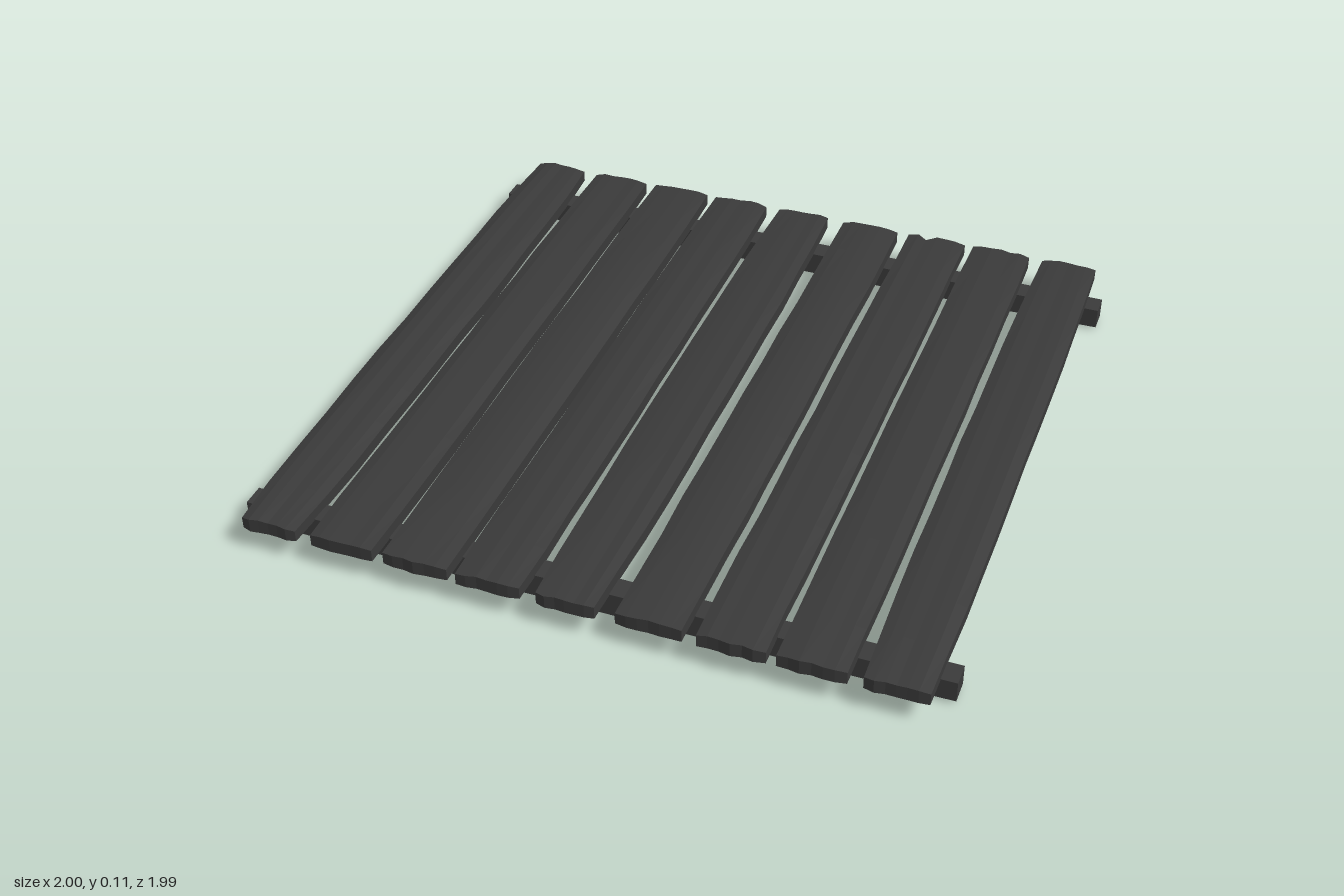
import * as THREE from 'three';

const wood = new THREE.MeshStandardMaterial({ color: 0x3a3a3a, flatShading: true });

// Repeatable noise in -1..1
function noise(a, b, c) {
  const s = Math.sin(a * 127.1 + b * 311.7 + c * 74.7) * 43758.5453;
  return 2 * (s - Math.floor(s)) - 1;
}

// Left and right edge, wear of the ends (how much the tips narrow)
const planks = [
  [-0.973, -0.782, 0.014], [-0.755, -0.565, 0.004], [-0.54, -0.348, 0.003],
  [-0.327, -0.138, 0.004], [-0.108, 0.08, 0.012], [0.123, 0.31, 0.002],
  [0.343, 0.531, 0.002], [0.555, 0.744, 0.003], [0.773, 0.962, 0.01],
];
const NOTCHED = 6;

// Weathered plank: crowned top, bowed along its length, ragged ends
function makePlank([x0, x1, taper], i) {
  const w = x1 - x0;
  const geo = new THREE.BoxGeometry(w, 0.036, 1.98, 6, 1, 12);
  const p = geo.attributes.position;
  for (let k = 0; k < p.count; k++) {
    const x = p.getX(k), y = p.getY(k), z = p.getZ(k);
    const u = x / (w / 2), v = z / 0.99;
    const row = Math.round(v * 6), col = Math.round(u * 3), top = y > 0;
    const isEnd = Math.abs(row) === 6, isSide = Math.abs(col) === 3;
    let nx = x * (1 - (2 * taper / w) * v ** 4);
    if (isSide) nx += 0.002 * noise(i, row, col);
    let ny = 0.084 + y;
    if (top) ny += 0.011 * (1 - u ** 4) * (1 - 0.5 * v * v) + 0.002 * noise(i, col, 3);
    else ny -= 0.005 * (1 - v * v) * (1 - 0.5 * u * u);
    let nz = z;
    if (isEnd) {
      nz += Math.sign(z) * (0.004 + 0.004 * noise(i, col, row) - (isSide ? 0.004 : 0));
      if (i === NOTCHED && z < 0 && col === -1 && top) nz += 0.024;
    }
    p.setXYZ(k, nx, ny, nz);
  }
  geo.computeVertexNormals();
  const mesh = new THREE.Mesh(geo, wood);
  mesh.name = `plank${i + 1}`;
  mesh.position.x = (x0 + x1) / 2;
  return mesh;
}

// Cross rail with a slight sag along its underside
function makeRail(name, z) {
  const geo = new THREE.BoxGeometry(2, 0.062, 0.066, 10, 1, 1);
  const p = geo.attributes.position;
  for (let k = 0; k < p.count; k++) {
    const x = p.getX(k), y = p.getY(k);
    const sag = y < 0 ? 0.009 * Math.max(0, 1 - x * x) : 0;
    p.setY(k, 0.04 + y - sag);
  }
  geo.computeVertexNormals();
  const mesh = new THREE.Mesh(geo, wood);
  mesh.name = name;
  mesh.position.z = z;
  return mesh;
}

export function createModel() {
  const model = new THREE.Group();
  model.name = 'plankPanel';
  planks.forEach((data, i) => model.add(makePlank(data, i)));
  model.add(makeRail('frontRail', 0.865), makeRail('backRail', -0.85));
  return model;
}
